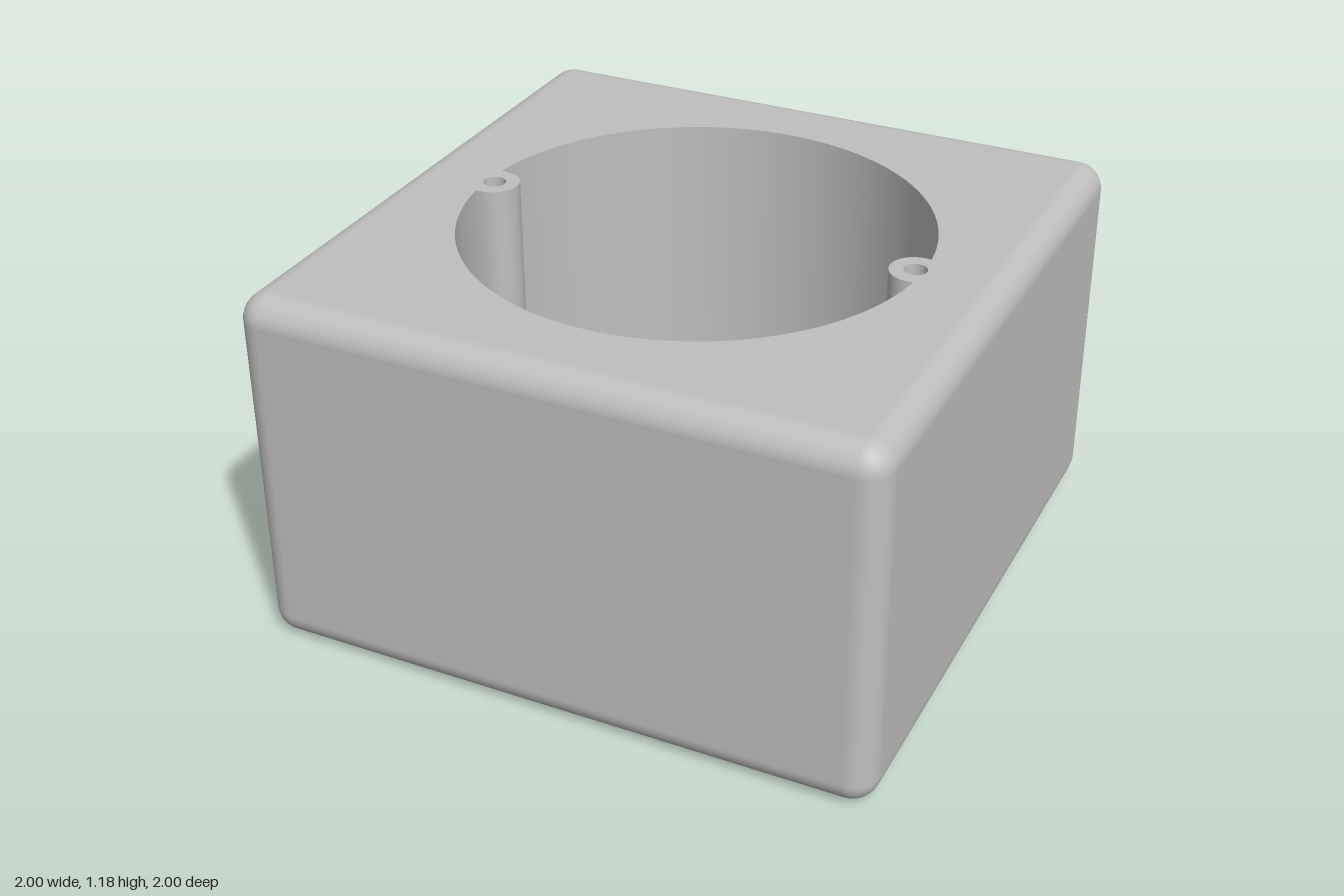
import * as THREE from 'three';

const HEIGHT = 1.18, EDGE = 0.085, FLOOR = 0.08;
const BORE = 0.73, BOSS_X = 0.705, BOSS_R = 0.08, SCREW_R = 0.036;
const SLOT_IN = 0.235, SLOT_OUT = 0.247;

// Points along an arc in plan; plan y points to -z
function arc(cx, r, from, to, n) {
  return Array.from({ length: n + 1 }, (_, i) => {
    const a = from + (to - from) * i / n;
    return new THREE.Vector2(cx + r * Math.cos(a), r * Math.sin(a));
  });
}

// Vertical wall along plan points, facing the left of the direction of travel
function wall(points, y0, y1) {
  const pos = [], index = [];
  points.forEach((p, i) => {
    pos.push(p.x, y0, -p.y, p.x, y1, -p.y);
    const b = 2 * i;
    if (i < points.length - 1) index.push(b, b + 1, b + 3, b, b + 3, b + 2);
  });
  const g = new THREE.BufferGeometry();
  g.setAttribute('position', new THREE.Float32BufferAttribute(pos, 3));
  g.setIndex(index);
  g.computeVertexNormals();
  return g;
}

// Flat plate with holes, facing up or down
function plate(outline, holes, y, up) {
  const shape = new THREE.Shape(outline);
  shape.holes = holes.map(h => new THREE.Path(h));
  return new THREE.ShapeGeometry(shape).rotateX(up ? -Math.PI / 2 : Math.PI / 2).translate(0, y, 0);
}

// Outer skin: rounded-square sections stacked from the bottom edge to the top edge
function roundedSides() {
  const core = 1 - EDGE, n = 8, pos = [], nor = [], index = [], ring = 4 * (n + 1);
  for (let row = 0; row < 2 * (n + 1); row++) {
    const top = row > n;
    const t = (row - (top ? n + 1 : n)) / n * Math.PI / 2;
    const y = (top ? HEIGHT - EDGE : EDGE) + EDGE * Math.sin(t);
    for (let c = 0; c < 4; c++) {
      for (let k = 0; k <= n; k++) {
        const a = (c + k / n) * Math.PI / 2;
        const sx = c === 0 || c === 3 ? 1 : -1, sz = c < 2 ? 1 : -1;
        const nx = Math.cos(t) * Math.cos(a), nz = Math.cos(t) * Math.sin(a);
        pos.push(sx * core + EDGE * nx, y, sz * core + EDGE * nz);
        nor.push(nx, Math.sin(t), nz);
      }
    }
    if (row === 0) continue;
    for (let i = 0; i < ring; i++) {
      const j = (i + 1) % ring, lo = (row - 1) * ring, hi = row * ring;
      index.push(lo + i, hi + i, hi + j, lo + i, hi + j, lo + j);
    }
  }
  const g = new THREE.BufferGeometry();
  g.setAttribute('position', new THREE.Float32BufferAttribute(pos, 3));
  g.setAttribute('normal', new THREE.Float32BufferAttribute(nor, 3));
  g.setIndex(index);
  return g;
}

export function createModel() {
  const group = new THREE.Group();
  group.name = 'mountingBox';
  const grey = new THREE.MeshStandardMaterial({ color: 0xbfbfbf });
  grey.name = 'greyPlastic';
  const add = (name, geometry) => {
    const mesh = new THREE.Mesh(geometry, grey);
    mesh.name = name;
    group.add(mesh);
  };

  const PI = Math.PI, c = 1 - EDGE;
  const square = [[-c, -c], [c, -c], [c, c], [-c, c]].map(p => new THREE.Vector2(...p));

  // Bore outline: two large arcs and two U-shaped screw bosses
  const a = Math.asin(BOSS_R / BORE);
  const backArc = arc(0, BORE, a, PI - a, 64);
  const frontArc = arc(0, BORE, PI + a, 2 * PI - a, 64);
  const rightBoss = [backArc.at(-1), ...arc(-BOSS_X, BOSS_R, PI / 2, -PI / 2, 20), frontArc[0]];
  const leftBoss = [frontArc.at(-1), ...arc(BOSS_X, BOSS_R, -PI / 2, -3 * PI / 2, 20), backArc[0]];
  const opening = [...backArc, ...rightBoss.slice(1, -1), ...frontArc, ...leftBoss.slice(1, -1)];
  const screwHoles = [-1, 1].map(s => arc(s * BOSS_X, SCREW_R, 0, 2 * PI, 24));

  // Knockout: eight thin slots through the floor
  const slots = Array.from({ length: 8 }, (_, i) => {
    const from = i * PI / 4 + 0.04, to = (i + 1) * PI / 4 - 0.04;
    return [arc(0, SLOT_OUT, from, to, 10), arc(0, SLOT_IN, to, from, 10)];
  });
  const slotHoles = slots.map(([outer, inner]) => [...outer, ...inner]);

  // Shell
  add('outerSides', roundedSides());
  add('topFace', plate(square, [opening, ...screwHoles.map(h => h.slice(0, -1))], HEIGHT, true));
  add('underside', plate(square, slotHoles, 0, false));
  add('innerFloor', plate(arc(0, 0.75, 0, 2 * PI, 96).slice(0, -1), slotHoles, FLOOR, true));

  // Inside walls
  add('boreWallBack', wall(backArc, FLOOR, HEIGHT));
  add('boreWallFront', wall(frontArc, FLOOR, HEIGHT));
  add('screwBossRight', wall(rightBoss, FLOOR, HEIGHT));
  add('screwBossLeft', wall(leftBoss, FLOOR, HEIGHT));
  screwHoles.forEach((h, i) => add(i ? 'screwHoleLeft' : 'screwHoleRight', wall(h, FLOOR, HEIGHT)));

  // Slot walls
  for (const [outer, inner] of slots) {
    add('slotOuterWall', wall(outer, 0, FLOOR));
    add('slotInnerWall', wall(inner, 0, FLOOR));
    add('slotEnd', wall([outer.at(-1), inner[0]], 0, FLOOR));
    add('slotEnd', wall([inner.at(-1), outer[0]], 0, FLOOR));
  }
  return group;
}
